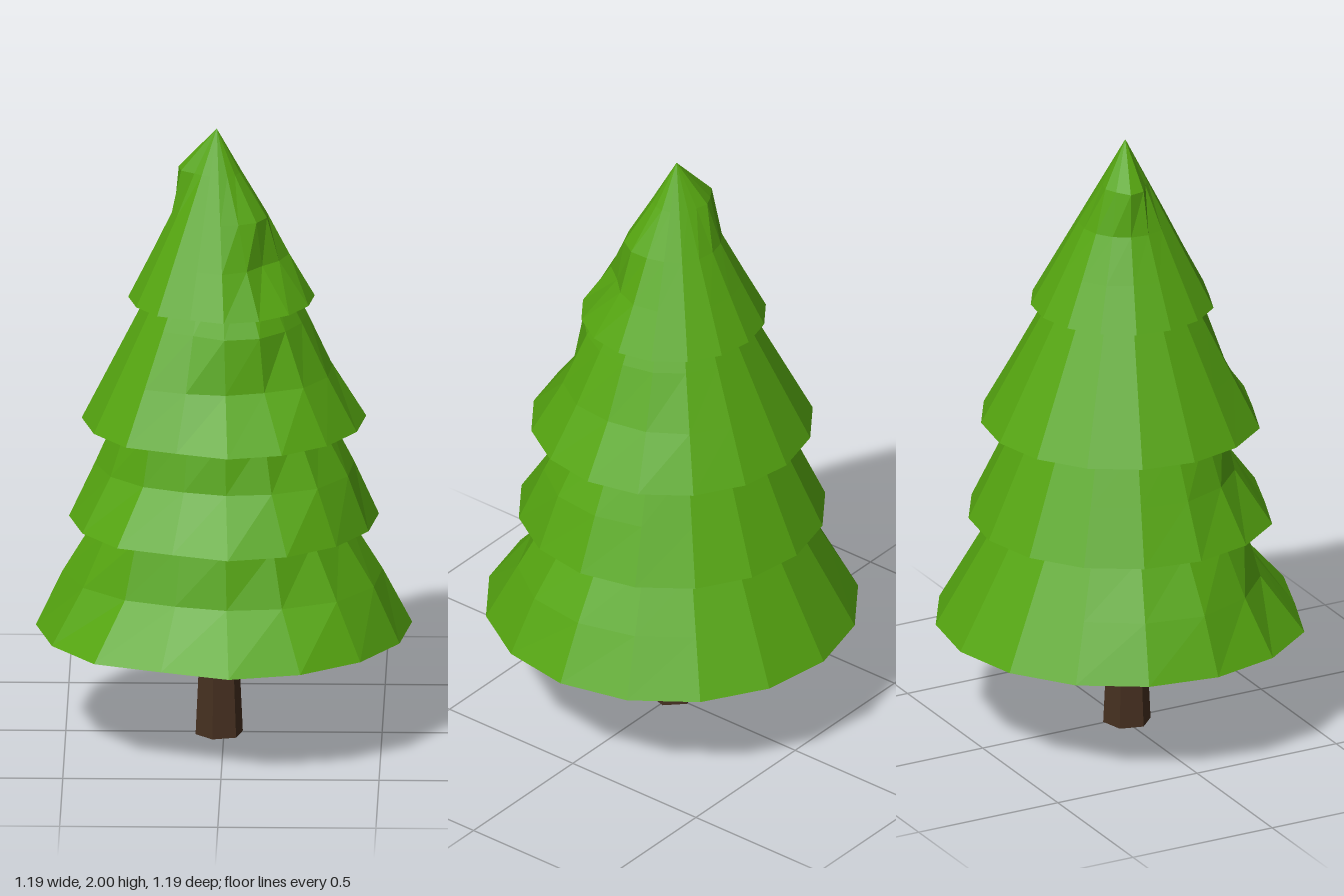
import * as THREE from 'three';

const RAD = Math.PI / 180;
const SIDES = 16;

// Each tier: base height, tip height, base radius, rows, and
// dents as [angle from +x towards +z, height, radial change]
const TIERS = [
  { name: 'bottomFoliage', y: 0.36, tip: 1.43, r: 0.595, rows: 6,
    dents: [[85, 0.54, -0.06], [20, 0.54, 0.015], [135, 0.54, -0.045], [175, 0.54, 0.015]] },
  { name: 'lowerFoliage', y: 0.72, tip: 1.77, r: 0.49, rows: 6,
    dents: [[85, 0.895, -0.05], [25, 0.895, 0.015], [135, 0.895, -0.04]] },
  { name: 'upperFoliage', y: 1.045, tip: 1.9, r: 0.45, rows: 5,
    dents: [[78, 1.21, -0.045], [75, 1.39, 0.025], [-5, 1.21, -0.015]] },
  { name: 'topFoliage', y: 1.445, tip: 2, r: 0.295, rows: 4,
    dents: [[42, 1.58, -0.04], [35, 1.72, 0.02], [195, 1.86, 0.06], [240, 1.86, 0.03]] },
];

// Cone whose rings are pushed in or out around each dent
function foliageTier({ name, y, tip, r, rows, dents }, material) {
  const height = tip - y;
  const geometry = new THREE.ConeGeometry(r, height, SIDES, rows);
  geometry.translate(0, y + height / 2, 0);
  const pos = geometry.attributes.position;
  for (let i = 0; i < pos.count; i++) {
    const px = pos.getX(i), py = pos.getY(i), pz = pos.getZ(i);
    let radius = Math.hypot(px, pz);
    const t = (py - y) / height;
    let angle = Math.atan2(pz, px);
    if (radius > 1e-4) {
      // one flattened side, shared by every tier
      if (Math.abs(angle - 112.5 * RAD) < 0.05) radius *= 0.93;
      if (t > 0.01) {
        for (const [a, h, amount] of dents) {
          const around = Math.exp(10 * (Math.cos(angle - a * RAD) - 1));
          const along = Math.exp(-(((py - h) / 0.08) ** 2));
          radius += amount * around * along;
        }
      }
      angle -= 2.5 * RAD;
    }
    pos.setXYZ(i, Math.cos(angle) * radius - 0.015 * t, py, Math.sin(angle) * radius);
  }
  // the top tier sits slightly off centre
  if (name === 'topFoliage') geometry.translate(-0.008, 0, 0);
  geometry.computeVertexNormals();
  const mesh = new THREE.Mesh(geometry, material);
  mesh.name = name;
  return mesh;
}

export function createModel() {
  const tree = new THREE.Group();
  tree.name = 'pineTree';
  const green = new THREE.MeshStandardMaterial({ color: 0x55a510, flatShading: true });
  const brown = new THREE.MeshStandardMaterial({ color: 0x463020, flatShading: true });

  // Tapered six-sided trunk
  const trunk = new THREE.Mesh(
    new THREE.CylinderGeometry(0.058, 0.077, 0.4, 6, 1, false, 45 * RAD), brown);
  trunk.name = 'trunk';
  trunk.position.set(-0.015, 0.2, 0.01);
  tree.add(trunk);

  // Four overlapping skirts of foliage
  for (const tier of TIERS) tree.add(foliageTier(tier, green));
  return tree;
}
